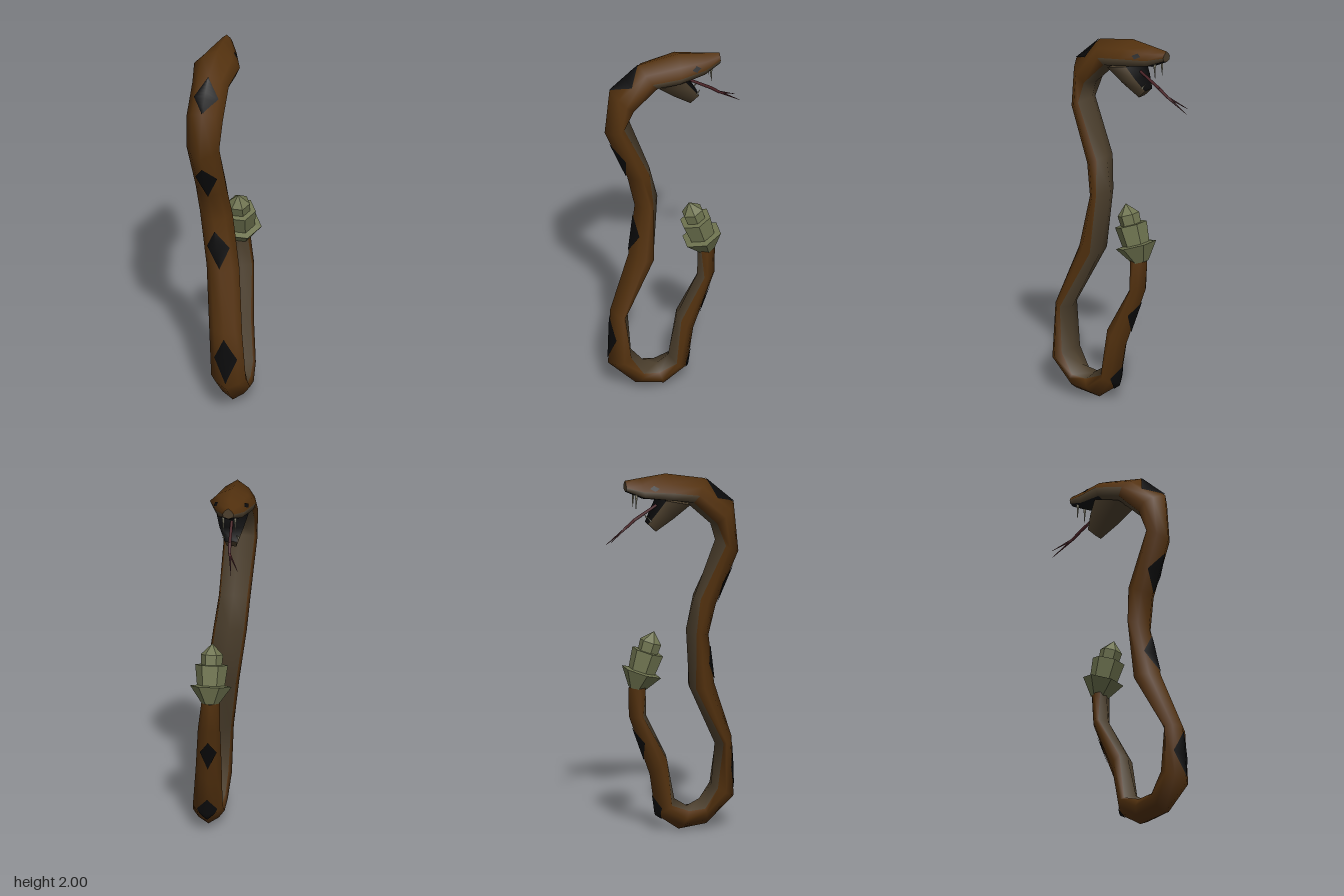
import * as THREE from 'three';

const paint = (name, color, side = THREE.FrontSide) => {
  const m = new THREE.MeshStandardMaterial({ color, side });
  m.name = name;
  return m;
};

// Joins rows of points into a skin; colourOf(row, column) picks a material index.
function loft(rows, materials, colourOf, closed = true) {
  const n = rows[0].length, pos = rows.flat().flatMap(p => p.toArray());
  const lists = materials.map(() => []);
  for (let j = 0; j < rows.length - 1; j++) {
    for (let i = 0; i < (closed ? n : n - 1); i++) {
      const k = (i + 1) % n, a = j * n + i, b = j * n + k;
      lists[colourOf(j, i)].push(a, b, a + n, b, b + n, a + n);
    }
  }
  if (closed) { // end caps with their own corners
    [rows[0], rows[rows.length - 1]].forEach((row, end) => {
      const base = pos.length / 3;
      row.forEach(p => pos.push(p.x, p.y, p.z));
      for (let i = 1; i < n - 1; i++) {
        lists[0].push(base, base + (end ? i : i + 1), base + (end ? i + 1 : i));
      }
    });
  }
  const g = new THREE.BufferGeometry();
  g.setAttribute('position', new THREE.Float32BufferAttribute(pos, 3));
  g.setIndex(lists.flat());
  let start = 0;
  lists.forEach((l, m) => { g.addGroup(start, l.length, m); start += l.length; });
  g.computeVertexNormals();
  return new THREE.Mesh(g, materials);
}

// Tail to nose: centre x, half width, back z, back y, belly z, belly y
const RINGS = [
  [0.05, 0.05, -0.215, 0.81, -0.12, 0.81],
  [0.06, 0.06, -0.21, 0.65, -0.115, 0.65],
  [0.075, 0.07, -0.09, 0.32, 0, 0.42],
  [0.085, 0.08, -0.055, 0.095, 0.05, 0.175],
  [0.09, 0.085, 0.075, 0.005, 0.12, 0.13],
  [0.09, 0.09, 0.23, 0.025, 0.19, 0.165],
  [0.085, 0.095, 0.38, 0.17, 0.255, 0.24],
  [0.07, 0.09, 0.365, 0.5, 0.27, 0.47],
  [0.025, 0.09, 0.255, 0.81, 0.115, 0.8],
  [-0.02, 0.09, 0.21, 1.09, 0.085, 1.13],
  [-0.04, 0.085, 0.245, 1.26, 0.125, 1.31],
  [-0.06, 0.09, 0.365, 1.55, 0.235, 1.62],
  [-0.055, 0.1, 0.34, 1.82, 0.21, 1.71],
  [-0.055, 0.1, 0.18, 1.96, 0.08, 1.83],
  [-0.055, 0.125, -0.04, 2.0, -0.02, 1.85],
  [-0.055, 0.075, -0.18, 1.985, -0.17, 1.87],
  [-0.055, 0.03, -0.265, 1.975, -0.265, 1.915],
];
const HEAD = 13; // first head ring

// Eight-sided section: ridge, shoulder, side, belly edge, belly and mirrored
const rings = RINGS.map(([x, w, zo, yo, zi, yi], j) => {
  const edge = j >= HEAD ? 0.15 : j % 2 ? 0.3 : 0.12; // zigzag colour border
  const half = [[0, 1], [0.65, 0.74], [1, 0.45], [0.85, edge], [0, 0]];
  const mirrored = half.slice(1, 4).reverse().map(([u, f]) => [-u, f]);
  return [...half, ...mirrored].map(([u, f]) =>
    new THREE.Vector3(x + u * w, yi + (yo - yi) * f, zi + (zo - zi) * f));
});

// Point just above the skin at ring position s and section position a
function onSkin(s, a) {
  const j = Math.min(Math.floor(s), rings.length - 2);
  const at = i => rings[j][(i + 8) % 8].clone().lerp(rings[j + 1][(i + 8) % 8], s - j);
  const i = Math.floor(a), p = at(i).lerp(at(i + 1), a - i);
  const centre = at(0).lerp(at(4), 0.5);
  return p.add(p.clone().sub(centre).setLength(0.005));
}

// Thin diamond that follows the skin
function diamond(s0, s1, a, halfA, material, name) {
  const rows = [];
  for (let i = 0; i <= 12; i++) {
    const t = i / 12, h = halfA * (1 - Math.abs(2 * t - 1));
    rows.push([a - h, a, a + h].map(k => onSkin(s0 + (s1 - s0) * t, k)));
  }
  const mesh = loft(rows, [material], () => 0, false);
  mesh.name = name;
  return mesh;
}

// Tapered rod between two points
function spike(from, to, r0, r1, material, name) {
  const a = new THREE.Vector3(...from), d = new THREE.Vector3(...to).sub(a);
  const g = new THREE.CylinderGeometry(r1, r0, d.length(), 5);
  g.translate(0, d.length() / 2, 0);
  const mesh = new THREE.Mesh(g, material);
  mesh.position.copy(a);
  mesh.quaternion.setFromUnitVectors(new THREE.Vector3(0, 1, 0), d.normalize());
  mesh.name = name;
  return mesh;
}

export function createModel() {
  const model = new THREE.Group();
  model.name = 'snake';
  const brown = paint('brown scales', 0x54320f);
  const belly = paint('belly', 0x4c3f2d);
  const black = paint('black markings', 0x0b0b0c);
  const bone = paint('fangs', 0x8f8c78);
  const pink = paint('tongue', 0x4a2226);
  const horn = paint('rattle', 0x6f7450, THREE.DoubleSide);

  // Body and upper head: brown back, pale belly and lips, dark palate
  const body = loft(rings, [belly, brown, black], (j, i) => {
    const under = i === 3 || i === 4, lip = i === 2 || i === 5;
    if (j >= HEAD + 1) return under ? 2 : lip ? 0 : 1;
    return under || (j === HEAD && lip) ? 0 : 1;
  });
  body.name = 'body';
  model.add(body);

  // Back markings
  [[1.2, 1.75], [2.5, 3.3], [6.1, 6.9], [8.07, 8.82], [10.03, 10.76], [12, 13]]
    .forEach(([a, b]) => model.add(diamond(a, b, 0, 0.98, black, 'backMarking')));
  [1.5, 6.5].forEach(a => model.add(diamond(14.45, 14.8, a, 0.35, black, 'eye')));

  // Lower jaw: half width, top z, top y, bottom z, bottom y
  const jawRows = [
    [0.088, -0.06, 1.87, 0.08, 1.835],
    [0.065, -0.105, 1.8, -0.01, 1.76],
    [0.032, -0.145, 1.735, -0.1, 1.69],
  ].map(([w, zt, yt, zb, yb]) => [[1, 1], [0.8, 0], [-0.8, 0], [-1, 1]].map(([u, top]) =>
    new THREE.Vector3(-0.055 + u * w, top ? yt : yb, top ? zt : zb)));
  const jaw = loft(jawRows, [belly, black], (j, i) => (i === 3 ? 1 : 0));
  jaw.name = 'lowerJaw';
  model.add(jaw);

  // Fangs and lower teeth
  for (const s of [-1, 1]) {
    const x = -0.055 + s * 0.032;
    model.add(spike([x, 1.91, -0.21], [x, 1.82, -0.213], 0.009, 0.001, bone, 'fang'));
    model.add(spike([x + s * 0.008, 1.75, -0.13], [x, 1.775, -0.15], 0.006, 0.001, bone, 'lowerTooth'));
  }

  // Forked tongue
  const bend = [-0.058, 1.755, -0.215], fork = [-0.063, 1.715, -0.265];
  model.add(spike([-0.055, 1.83, -0.09], bend, 0.008, 0.009, pink, 'tongue'));
  model.add(spike(bend, fork, 0.009, 0.008, pink, 'tongue'));
  model.add(spike(fork, [-0.116, 1.655, -0.36], 0.007, 0.001, pink, 'tongueTip'));
  model.add(spike(fork, [-0.083, 1.635, -0.38], 0.007, 0.001, pink, 'tongueTip'));

  // Rattle of three flared six-sided segments
  const profile = [[0.045, -0.01], [0.112, 0.085], [0.075, 0.09], [0.088, 0.2],
    [0.056, 0.2], [0.06, 0.255], [0, 0.315]].map(([r, y]) => new THREE.Vector2(r, y));
  const rattleShape = new THREE.LatheGeometry(profile, 6).rotateY(Math.PI / 6).toNonIndexed();
  rattleShape.computeVertexNormals();
  const rattle = new THREE.Mesh(rattleShape, horn);
  rattle.position.set(0.052, 0.81, -0.168);
  rattle.rotation.x = 0.31;
  rattle.name = 'rattle';
  model.add(rattle);

  return model;
}
